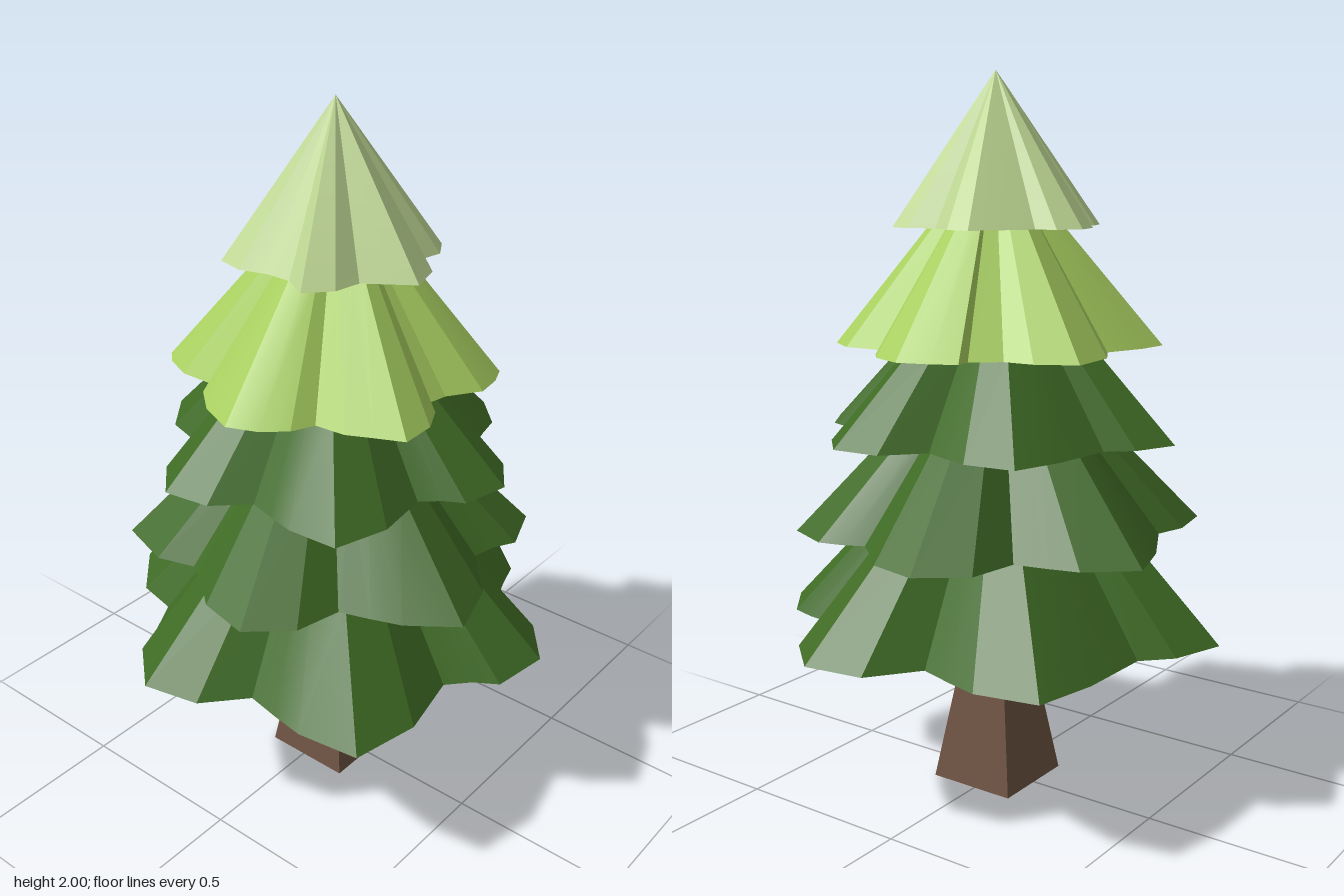
import * as THREE from 'three';
import { toCreasedNormals } from 'three/addons/utils/BufferGeometryUtils.js';

const material = (name, color, side = THREE.FrontSide) =>
  new THREE.MeshStandardMaterial({ name, color, side });

// Scalloped six-lobed rims as x, z pairs, clockwise seen from above
const BRANCH_RIM = [
  0.01, -0.593, 0.18, -0.62, 0.303, -0.513, 0.33, -0.427, 0.37, -0.325,
  0.44, -0.32, 0.517, -0.3, 0.617, -0.177, 0.593, -0.01, 0.53, 0.03, 0.475, 0.09,
  0.517, 0.283, 0.477, 0.473, 0.303, 0.497, 0.207, 0.483, 0.11, 0.465,
  0.01, 0.577, -0.15, 0.613, -0.28, 0.5, -0.317, 0.407, -0.37, 0.31,
  -0.493, 0.283, -0.623, 0.143, -0.573, -0.007, -0.5, -0.083,
  -0.493, -0.3, -0.457, -0.477, -0.283, -0.513, -0.19, -0.49, -0.09, -0.46,
];
const LIME_RIM = [
  -0.15, -0.35, -0.155, -0.395, -0.093, -0.427, -0.003, -0.455, 0.093, -0.417, 0.14, -0.363,
  0.18, -0.303, 0.29, -0.31, 0.373, -0.257, 0.397, -0.2, 0.407, -0.127, 0.35, -0.04,
  0.34, 0.015, 0.383, 0.05, 0.42, 0.123, 0.423, 0.223, 0.35, 0.257, 0.283, 0.29,
  0.197, 0.297, 0.17, 0.36, 0.11, 0.413, 0.03, 0.445, -0.073, 0.403, -0.15, 0.337,
  -0.167, 0.29, -0.267, 0.29, -0.35, 0.253, -0.387, 0.217, -0.377, 0.123,
  -0.337, 0.01, -0.393, -0.083, -0.403, -0.227, -0.303, -0.283, -0.217, -0.29,
];
const TOP_RIM = [
  -0.14, -0.217, -0.097, -0.277, -0.027, -0.273, 0.05, -0.223, 0.117, -0.253,
  0.183, -0.237, 0.223, -0.173, 0.213, -0.123, 0.283, -0.057, 0.313, 0.04,
  0.26, 0.077, 0.193, 0.123, 0.18, 0.2, 0.123, 0.263, 0.05, 0.22,
  -0.023, 0.22, -0.097, 0.243, -0.177, 0.223, -0.203, 0.157, -0.187, 0.09,
  -0.267, 0.043, -0.29, -0.043, -0.25, -0.103, -0.197, -0.123,
];

// Sloping skirt from a rim up to a smaller copy of it (taper 0 makes a point)
function skirt(rim, height, taper, cx, cz) {
  const n = rim.length / 2;
  const pos = [];
  const low = (i) => [rim[(i % n) * 2], 0, rim[(i % n) * 2 + 1]];
  const high = (i) => {
    const [x, , z] = low(i);
    return [cx + (x - cx) * taper, height, cz + (z - cz) * taper];
  };
  for (let i = 0; i < n; i++) {
    pos.push(...low(i), ...high(i), ...low(i + 1));
    if (taper > 0) pos.push(...low(i + 1), ...high(i), ...high(i + 1));
  }
  const geo = new THREE.BufferGeometry();
  geo.setAttribute('position', new THREE.Float32BufferAttribute(pos, 3));
  return toCreasedNormals(geo, 0.3);
}

// Flat underside facing down
function underside(rim) {
  const points = [];
  for (let i = 0; i < rim.length; i += 2) points.push(new THREE.Vector2(rim[i], rim[i + 1]));
  return new THREE.ShapeGeometry(new THREE.Shape(points)).rotateX(Math.PI / 2);
}

export function createModel() {
  const tree = new THREE.Group();
  tree.name = 'pineTree';

  const bark = material('bark brown', 0x6f5443);
  const dark = material('dark green', 0x3f6b25, THREE.DoubleSide);
  const lime = material('lime green', 0xa8cf60, THREE.DoubleSide);
  const pale = material('pale green', 0xbfd894, THREE.DoubleSide);

  // Square trunk with a flared foot
  const profile = [[0, 0], [0.13, 0], [0.08, 0.32], [0.08, 0.78]]
    .map(([r, y]) => new THREE.Vector2(r * Math.SQRT2, y));
  const trunk = new THREE.Mesh(
    toCreasedNormals(new THREE.LatheGeometry(profile, 4, Math.PI / 4), 0.1), bark);
  trunk.name = 'trunk';
  trunk.position.x = 0.012;
  tree.add(trunk);

  // Branch tiers from the bottom up; the lowest is open underneath
  const tiers = [
    { name: 'lowestBranches', rim: BRANCH_RIM, y: 0.48, top: 0.76, taper: 0.59, mat: dark, open: true },
    { name: 'lowerBranches', rim: BRANCH_RIM, y: 0.76, top: 1.03, taper: 0.54, mat: dark, scale: 0.89, turn: 29 },
    { name: 'middleBranches', rim: BRANCH_RIM, y: 1.03, top: 1.27, taper: 0.55, mat: dark, scale: 0.805, turn: -4.5 },
    { name: 'upperBranches', rim: LIME_RIM, y: 1.27, top: 1.59, taper: 0.41, mat: lime, cx: 0.02 },
    { name: 'treeTop', rim: TOP_RIM, y: 1.59, top: 2, taper: 0, mat: pale, cx: 0.02, cz: 0.005 },
  ];
  for (const { name, rim, y, top, taper, mat, open, scale = 1, turn = 0, cx = 0, cz = 0 } of tiers) {
    const tier = new THREE.Group();
    tier.name = name;
    const sides = new THREE.Mesh(skirt(rim, top - y, taper, cx, cz), mat);
    sides.name = name + 'Sides';
    tier.add(sides);
    if (!open) {
      const base = new THREE.Mesh(underside(rim), mat);
      base.name = name + 'Underside';
      tier.add(base);
    }
    tier.position.y = y;
    tier.scale.set(scale, 1, scale);
    tier.rotation.y = THREE.MathUtils.degToRad(turn);
    tree.add(tier);
  }
  return tree;
}
